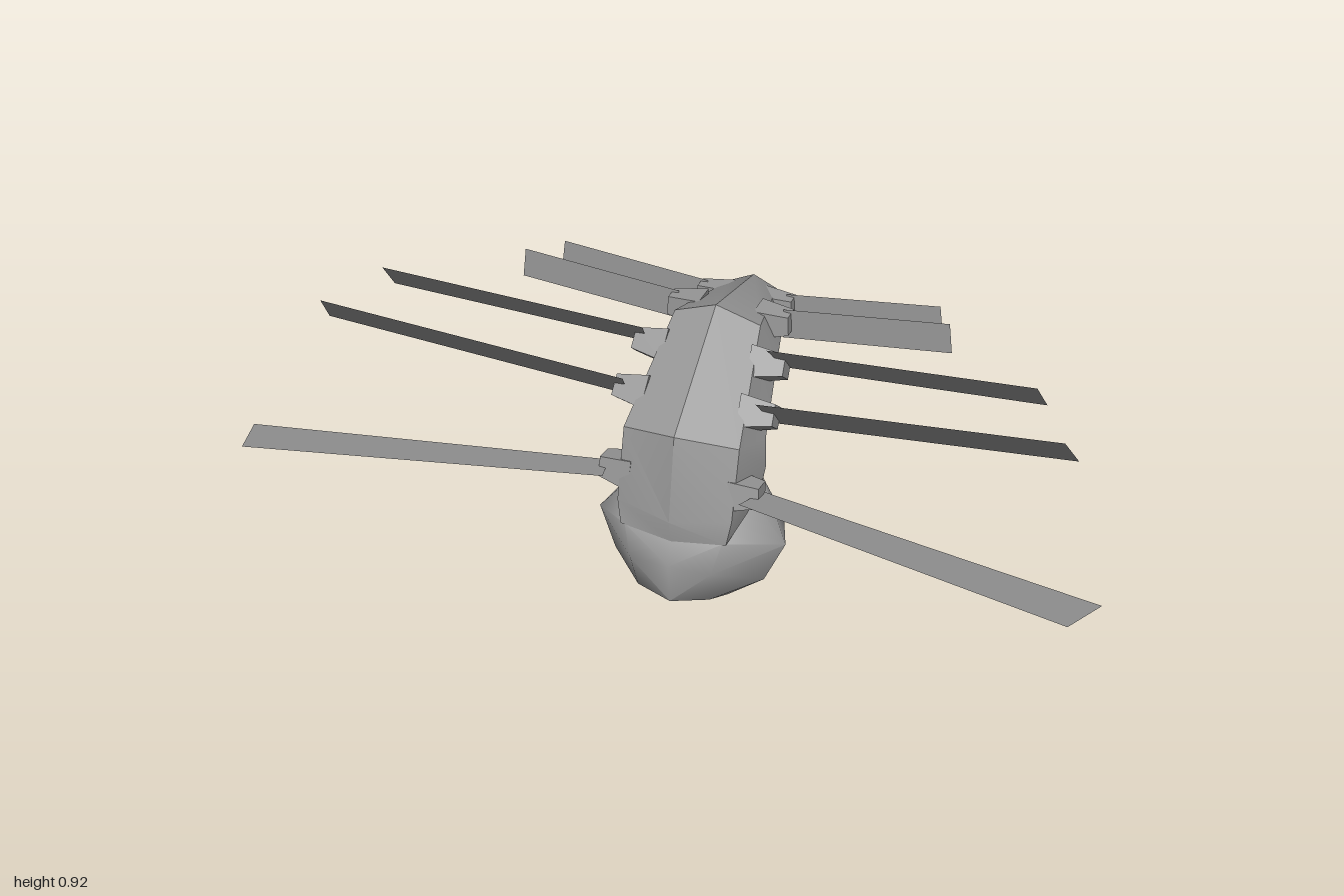
import * as THREE from 'three';
import { ConvexGeometry } from 'three/addons/geometries/ConvexGeometry.js';
import { toCreasedNormals } from 'three/addons/utils/BufferGeometryUtils.js';

const shell = new THREE.MeshStandardMaterial({ color: 0x999999 });
const thin = new THREE.MeshStandardMaterial({ color: 0x999999, side: THREE.DoubleSide });

function part(name, geometry, crease = 0.5, material = shell) {
  const mesh = new THREE.Mesh(toCreasedNormals(geometry, crease), material);
  mesh.name = name;
  return mesh;
}

// Joins mirrored cross-sections; each station lists [x, y, z] from the back ridge to the belly.
function loft(stations) {
  const rings = stations.map(st => [
    ...st, ...st.slice(1, -1).reverse().map(([x, y, z]) => [-x, y, z])]);
  const n = rings[0].length, pos = rings.flat(2), index = [];
  for (let s = 0; s < rings.length - 1; s++) {
    for (let i = 0; i < n; i++) {
      const j = (i + 1) % n, a = s * n + i, b = s * n + j;
      index.push(a, b, a + n, b, b + n, a + n);
    }
  }
  const end = (rings.length - 1) * n;
  for (let i = 1; i < n - 1; i++) {
    index.push(0, i + 1, i, end, end + i, end + i + 1);
  }
  const g = new THREE.BufferGeometry();
  g.setAttribute('position', new THREE.Float32BufferAttribute(pos, 3));
  g.setIndex(index);
  return g;
}

// Convex hull of points mirrored across the middle.
function mirroredHull(points) {
  const all = [];
  for (const [x, y, z] of points) {
    all.push(new THREE.Vector3(x, y, z));
    if (x) all.push(new THREE.Vector3(-x, y, z));
  }
  return new ConvexGeometry(all);
}

// Flat four-cornered blade.
function blade(corners, side) {
  const g = new THREE.BufferGeometry();
  g.setAttribute('position', new THREE.Float32BufferAttribute(
    corners.flatMap(([x, y, z]) => [x * side, y, z]), 3));
  g.setIndex([0, 1, 2, 0, 2, 3]);
  return g;
}

// Tapered square peg between two points.
function peg(from, to, r0, r1, twist) {
  const a = new THREE.Vector3(...from), b = new THREE.Vector3(...to);
  const dir = b.clone().sub(a);
  const g = new THREE.CylinderGeometry(r1, r0, dir.length(), 4);
  g.rotateY(twist);
  g.applyQuaternion(new THREE.Quaternion().setFromUnitVectors(
    new THREE.Vector3(0, 1, 0), dir.normalize()));
  const mid = a.add(b).multiplyScalar(0.5);
  return g.translate(mid.x, mid.y, mid.z);
}

export function createModel() {
  const model = new THREE.Group();
  model.name = 'wingedCreature';

  // Curved body: ridge, back plate edge, lower flank, belly side, belly
  model.add(part('body', loft([
    [[0, 0.43, 0.25], [0.13, 0.44, 0.235], [0.165, 0.5, 0.1], [0.09, 0.485, 0.03], [0, 0.47, 0]],
    [[0, 0.49, 0.26], [0.14, 0.5, 0.225], [0.175, 0.575, 0.085], [0.1, 0.51, 0.02], [0, 0.48, -0.02]],
    [[0, 0.7, 0.22], [0.14, 0.67, 0.175], [0.165, 0.635, 0.06], [0.1, 0.56, -0.01], [0, 0.52, -0.05]],
    [[0, 0.89, -0.06], [0.105, 0.85, -0.07], [0.14, 0.76, -0.1], [0.09, 0.66, -0.15], [0, 0.61, -0.17]],
    [[0, 0.825, -0.335], [0.06, 0.8, -0.33], [0.09, 0.76, -0.31], [0.06, 0.68, -0.3], [0, 0.64, -0.3]],
    [[0, 0.71, -0.48], [0.018, 0.705, -0.48], [0.025, 0.695, -0.48], [0.018, 0.675, -0.485], [0, 0.66, -0.49]],
    [[0, 0.66, -0.5], [0.003, 0.66, -0.5], [0.004, 0.659, -0.5], [0.003, 0.658, -0.5], [0, 0.657, -0.5]],
  ])));

  // Rounded head and the collar behind it
  model.add(part('head', mirroredHull([
    [0, 0.43, 0.25], [0.12, 0.44, 0.235], [0, 0.37, 0.27], [0.1, 0.36, 0.255],
    [0, 0.26, 0.26], [0.09, 0.27, 0.235], [0.235, 0.38, 0.11], [0.19, 0.28, 0.13],
    [0.1, 0.21, 0.13], [0, 0.19, 0.14], [0.15, 0.48, 0.1], [0.14, 0.48, 0.0],
    [0.19, 0.36, -0.02], [0.13, 0.25, -0.01], [0, 0.23, -0.01], [0, 0.5, 0.1], [0, 0.49, 0.0],
  ]), 0.9));
  model.add(part('collar', mirroredHull([
    [0.13, 0.485, 0.0], [0.1, 0.47, -0.05], [0.14, 0.36, -0.065], [0.08, 0.25, -0.06],
    [0.17, 0.36, 0.0], [0.1, 0.24, 0.0], [0, 0.48, -0.055],
  ]), 0.7));

  // Mouth lip and long tapering beak
  model.add(part('mouthLip', mirroredHull([
    [0, 0.37, -0.05], [0.055, 0.33, -0.05], [0, 0.32, -0.105], [0.05, 0.25, -0.05], [0, 0.25, -0.09],
  ])));
  model.add(part('beak', loft([
    [[0, 0.31, -0.06], [0.04, 0.27, -0.04], [0, 0.23, -0.02]],
    [[0, 0.295, -0.115], [0.036, 0.25, -0.095], [0, 0.21, -0.08]],
    [[0, 0.255, -0.155], [0.028, 0.22, -0.15], [0, 0.185, -0.14]],
    [[0, 0.17, -0.26], [0.024, 0.145, -0.24], [0, 0.115, -0.22]],
    [[0, 0.088, -0.365], [0.014, 0.07, -0.36], [0, 0.05, -0.355]],
    [[0, 0.004, -0.5], [0.001, 0.002, -0.5], [0, 0, -0.5]],
  ])));

  // Wings: outer end of peg, then blade corners (upper root, upper tip, lower tip, lower root)
  const wings = [
    { peg: [0.195, 0.553, 0.175], r: 0.045, twist: 0.6, corners: [
      [0.165, 0.575, 0.25], [0.95, 0.636, 0.5], [1, 0.605, 0.37], [0.19, 0.55, 0.15]] },
    { peg: [0.195, 0.705, 0.077], r: 0.046, twist: 0.1, corners: [
      [0.16, 0.765, 0.125], [0.865, 0.89, 0.23], [0.89, 0.805, 0.16], [0.18, 0.67, 0.045]] },
    { peg: [0.185, 0.775, -0.025], r: 0.045, twist: 0.1, corners: [
      [0.15, 0.845, 0.022], [0.775, 0.92, 0.09], [0.79, 0.835, 0.015], [0.17, 0.76, -0.055]] },
    { peg: [0.15, 0.81, -0.163], r: 0.042, twist: 0.75, corners: [
      [0.13, 0.845, -0.165], [0.525, 0.885, -0.165], [0.535, 0.81, -0.165], [0.13, 0.77, -0.165]] },
    { peg: [0.12, 0.785, -0.28], r: 0.036, twist: 0.75, corners: [
      [0.1, 0.815, -0.285], [0.475, 0.855, -0.285], [0.485, 0.785, -0.285], [0.1, 0.75, -0.285]] },
  ];

  for (const side of [1, -1]) {
    const label = side > 0 ? 'left' : 'right';
    wings.forEach((w, i) => {
      const [x, y, z] = w.peg;
      model.add(part(`${label}WingSocket${i + 1}`,
        peg([side * (x - 0.08), y, z], [side * x, y + 0.005, z], w.r * 1.2, w.r * 0.78, side * w.twist)));
      model.add(part(`${label}Wing${i + 1}`, blade(w.corners, side), 0.5, thin));
    });

    // Small jaw arm with a knobbly claw
    model.add(part(`${label}JawArm`,
      peg([side * 0.03, 0.28, -0.06], [side * 0.125, 0.225, -0.1], 0.02, 0.013, 0)));
    model.add(part(`${label}JawClaw`, new ConvexGeometry([
      [0.095, 0.225, -0.03], [0.125, 0.25, -0.11], [0.155, 0.215, -0.09], [0.155, 0.2, -0.13],
      [0.13, 0.18, -0.07], [0.12, 0.18, -0.125], [0.095, 0.205, -0.15], [0.12, 0.225, -0.155],
    ].map(([x, y, z]) => new THREE.Vector3(side * x, y, z)))));
  }
  return model;
}
